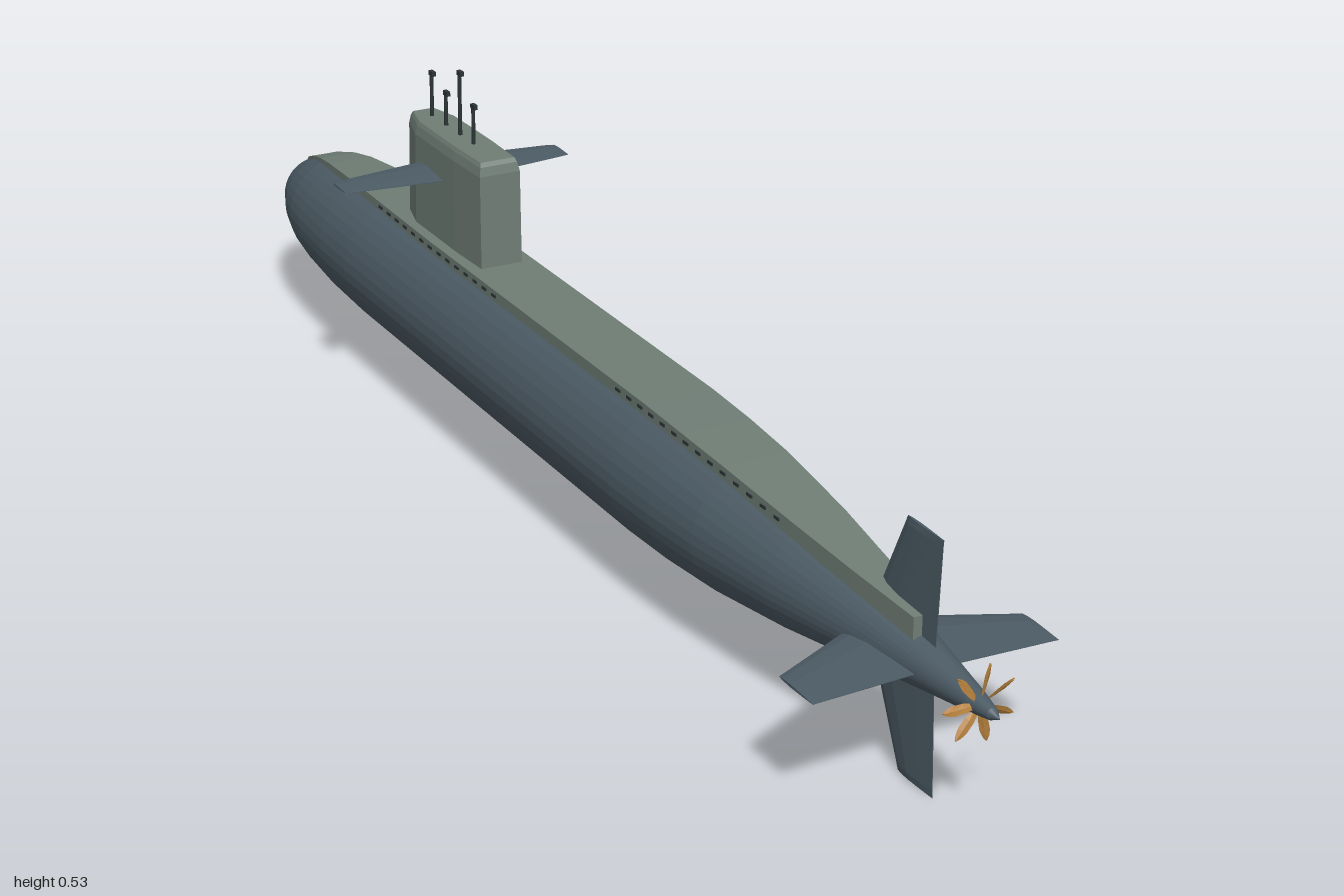
import * as THREE from 'three';

const AXIS = 0.173; // height of the hull centreline

// hull profile: [z, radius], bow at -z
const HULL = [[-1, 0], [-0.993, 0.016], [-0.975, 0.033], [-0.945, 0.053], [-0.9, 0.071], [-0.85, 0.084], [-0.8, 0.091],
  [-0.7, 0.099], [-0.6, 0.102], [0.25, 0.102], [0.35, 0.099], [0.45, 0.092], [0.6, 0.073], [0.75, 0.048],
  [0.85, 0.031], [0.95, 0.015], [0.985, 0.008], [1, 0]];

// deck casing: [z, half width, top height]
const CASING = [[-0.98, 0.002, 0.203], [-0.945, 0.01, 0.229], [-0.9, 0.02, 0.2465], [-0.85, 0.029, 0.2595],
  [-0.8, 0.035, 0.267], [-0.7, 0.043, 0.2745], [-0.6, 0.047, 0.277], [-0.4, 0.051, 0.278], [0.25, 0.051, 0.278],
  [0.35, 0.05, 0.275], [0.45, 0.047, 0.27], [0.6, 0.038, 0.257], [0.72, 0.027, 0.244], [0.84, 0.015, 0.232]];

const sample = (table, z, col) => {
  let i = 1;
  while (i < table.length - 1 && table[i][0] < z) i++;
  const a = table[i - 1], b = table[i];
  return THREE.MathUtils.lerp(a[col], b[col], (z - a[0]) / (b[0] - a[0]));
};

const flat = (geo) => {
  const g = geo.index ? geo.toNonIndexed() : geo;
  g.computeVertexNormals();
  return g;
};

// joins equal-length rings of points into a closed, flat-shaded solid
function loft(rings) {
  const n = rings[0].length, pos = rings.flat(2), tris = [];
  for (let r = 0; r < rings.length - 1; r++) {
    for (let i = 0; i < n; i++) {
      const a = r * n + i, b = r * n + (i + 1) % n;
      tris.push([a, b, b + n], [a, b + n, a + n]);
    }
  }
  const last = (rings.length - 1) * n;
  for (let i = 1; i < n - 1; i++) tris.push([0, i + 1, i], [last, last + i, last + i + 1]);
  // turn the faces outward if the enclosed volume is negative
  const p = (i) => new THREE.Vector3().fromArray(pos, i * 3);
  const volume = tris.reduce((s, [a, b, c]) => s + p(a).dot(p(b).cross(p(c))), 0);
  const geo = new THREE.BufferGeometry();
  geo.setAttribute('position', new THREE.Float32BufferAttribute(pos, 3));
  geo.setIndex(tris.flatMap(([a, b, c]) => (volume < 0 ? [a, c, b] : [a, b, c])));
  return flat(geo);
}

// fin along +x; each station is [x, leading z, trailing z, half thickness]
function fin(stations) {
  const section = [[0, 0], [0.12, 0.7], [0.35, 1], [0.7, 0.6], [1, 0.08], [1, -0.08], [0.7, -0.6], [0.35, -1], [0.12, -0.7]];
  return loft(stations.map(([x, z0, z1, t]) => section.map(([u, v]) => [x, v * t, z0 + (z1 - z0) * u])));
}

export function createModel() {
  const paint = (name, color) => {
    const m = new THREE.MeshStandardMaterial({ color });
    m.name = name;
    return m;
  };
  const hullGrey = paint('hull blue grey', 0x4c5b65);
  const deckGrey = paint('deck green grey', 0x6f7d75);
  const darkGrey = paint('dark grey', 0x2c3437);
  const bronze = paint('bronze', 0xb5803c);

  const model = new THREE.Group();
  model.name = 'submarine';
  const add = (name, geo, mat, parent = model) => {
    const mesh = new THREE.Mesh(geo, mat);
    mesh.name = name;
    parent.add(mesh);
    return mesh;
  };

  // hull, turned around the z axis
  const hullGeo = new THREE.LatheGeometry(HULL.map(([z, r]) => new THREE.Vector2(r, z)), 40);
  hullGeo.rotateX(Math.PI / 2);
  add('hull', flat(hullGeo), hullGrey).position.y = AXIS;

  // flat deck casing, its lower part sunk into the hull
  add('deckCasing', loft(CASING.map(([z, w, top]) =>
    [[-w, AXIS + 0.008, z], [-w, top, z], [w, top, z], [w, AXIS + 0.008, z]])), deckGrey);

  // drain slots along the casing sides
  const slots = new THREE.Group();
  slots.name = 'drainSlots';
  model.add(slots);
  const slotGeo = new THREE.BoxGeometry(0.003, 0.004, 0.012);
  for (const [start, count] of [[-0.58, 14], [0.18, 14]]) {
    for (let i = 0; i < count; i++) {
      const z = start + i * 0.03;
      const w = sample(CASING, z, 1), r = sample(HULL, z, 1);
      const y = (AXIS + Math.sqrt(r * r - w * w) + sample(CASING, z, 2)) / 2;
      for (const side of [-1, 1]) add('drainSlot', slotGeo, darkGrey, slots).position.set(side * w, y, z);
    }
  }

  // sail with a chamfered top
  const plan = [[0.02, -0.537], [0.034, -0.485], [0.035, -0.35], [0.032, -0.268]];
  const outline = [...plan, ...plan.map(([x, z]) => [-x, z]).reverse()];
  const sailRing = (y, sx, sz) => outline.map(([x, z]) => [x * sx, y, -0.4 + (z + 0.4) * sz]);
  add('sail', loft([sailRing(0.25, 1, 1), sailRing(0.415, 0.98, 0.975), sailRing(0.428, 0.9, 0.95),
    sailRing(0.434, 0.82, 0.92)]), deckGrey);

  // sail planes
  const sailPlane = fin([[0.02, -0.48, -0.388, 0.0065], [0.165, -0.459, -0.405, 0.003], [0.178, -0.455, -0.407, 0.0015]]);
  for (const [name, turn] of [['leftSailPlane', 0], ['rightSailPlane', Math.PI]]) {
    const plane = add(name, sailPlane, hullGrey);
    plane.position.y = 0.372;
    plane.rotation.z = turn;
  }

  // cross-shaped stern fins
  const sternFin = fin([[0.01, 0.722, 0.865, 0.007], [0.16, 0.793, 0.872, 0.0035], [0.169, 0.797, 0.873, 0.002]]);
  ['leftSternPlane', 'upperRudder', 'rightSternPlane', 'lowerRudder'].forEach((name, i) => {
    const f = add(name, sternFin, hullGrey);
    f.position.y = AXIS;
    f.rotation.z = i * Math.PI / 2;
  });

  // masts: [z, top height]
  for (const [z, top] of [[-0.356, 0.494], [-0.4, 0.531], [-0.447, 0.487], [-0.495, 0.503]]) {
    const mast = new THREE.Group();
    mast.name = 'mast';
    model.add(mast);
    const height = top - 0.42;
    add('mastTube', new THREE.CylinderGeometry(0.0028, 0.0032, height, 8), darkGrey, mast)
      .position.set(0, 0.42 + height / 2, z);
    add('mastHead', new THREE.BoxGeometry(0.006, 0.007, 0.012), darkGrey, mast)
      .position.set(0, top - 0.0035, z + 0.003);
  }

  // seven-bladed propeller
  const propeller = new THREE.Group();
  propeller.name = 'propeller';
  propeller.position.set(0, AXIS, 0.96);
  model.add(propeller);
  const blade = loft([[0.006, 0.003, 0.7], [0.022, 0.0058, 0.55], [0.036, 0.0062, 0.45], [0.045, 0.004, 0.4],
    [0.051, 0.0008, 0.35]].map(([x, half, pitch]) => [[-half, 0], [0, 0.0012], [half, 0], [0, -0.0012]]
    .map(([c, t]) => [x, c * Math.cos(pitch) - t * Math.sin(pitch), c * Math.sin(pitch) + t * Math.cos(pitch)])));
  for (let i = 0; i < 7; i++) {
    add('propellerBlade', blade, bronze, propeller).rotation.z = Math.PI + i * Math.PI * 2 / 7;
  }
  const hub = new THREE.CylinderGeometry(0.011, 0.014, 0.016, 16);
  hub.rotateX(Math.PI / 2);
  add('propellerHub', hub, darkGrey, propeller);

  return model;
}
